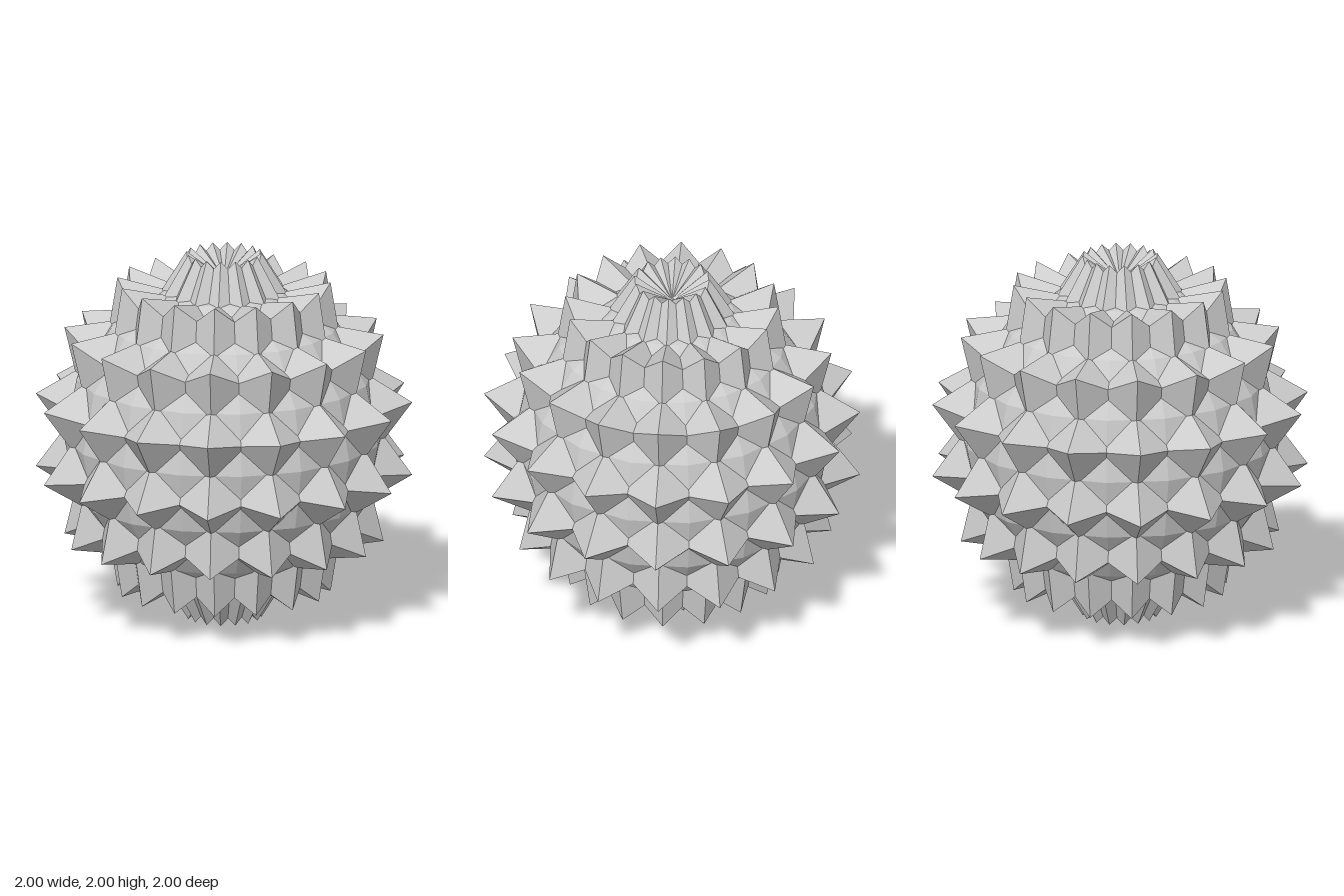
import * as THREE from 'three';

const RINGS = 8;      // rows of spikes from pole to pole
const AROUND = 16;    // spikes in each row
const CORE_R = 0.85;
const TIP_R = 1.02;
const SPIKE_H = 0.22;
const SPIKE_R = 0.205;

export function createModel() {
  const model = new THREE.Group();
  model.name = 'spikyBall';
  const material = new THREE.MeshStandardMaterial({ color: 0xcccccc, flatShading: true });

  const ball = new THREE.Group();
  ball.name = 'ball';
  ball.position.y = 1;
  ball.rotation.y = -0.016;
  model.add(ball);

  // Faceted core, turned so that every facet is centred under a spike
  const coreGeometry = new THREE.SphereGeometry(CORE_R, AROUND, RINGS);
  coreGeometry.rotateY(Math.PI / AROUND);
  const core = new THREE.Mesh(coreGeometry, material);
  core.name = 'core';
  ball.add(core);

  // Rows of four-sided spikes, one per facet, with their edges along the meridians
  for (let row = 0; row < RINGS; row++) {
    const ring = new THREE.Group();
    ring.name = `spikeRing${row + 1}`;
    const geometry = new THREE.ConeGeometry(SPIKE_R, SPIKE_H, 4);
    geometry.translate(0, TIP_R - SPIKE_H / 2, 0);
    geometry.rotateX(((row + 0.5) * Math.PI) / RINGS);
    for (let i = 0; i < AROUND; i++) {
      const spike = new THREE.Mesh(geometry, material);
      spike.name = 'spike';
      spike.rotation.y = (i * 2 * Math.PI) / AROUND;
      ring.add(spike);
    }
    ball.add(ring);
  }
  return model;
}
